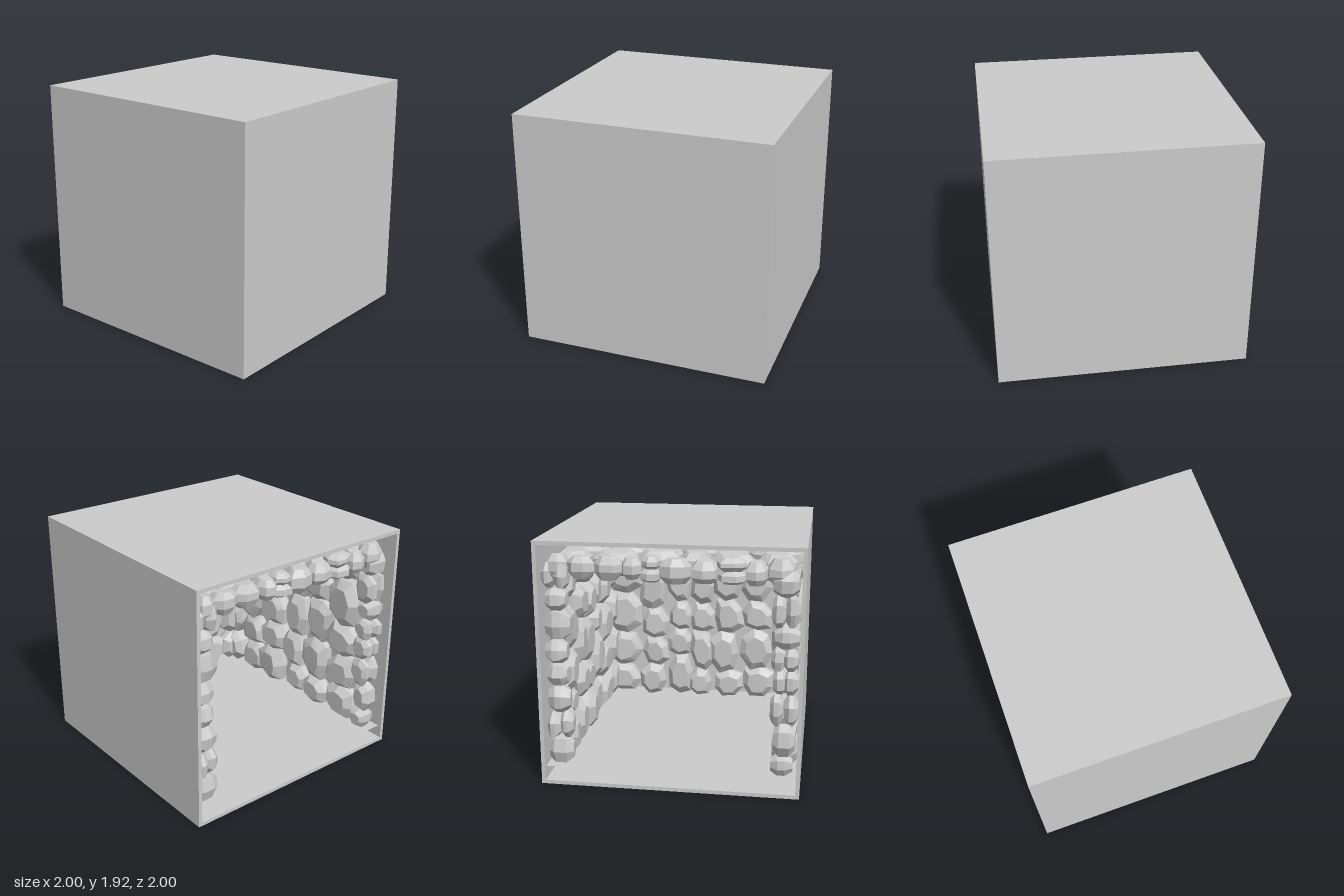
import * as THREE from 'three';
import { ConvexGeometry } from 'three/addons/geometries/ConvexGeometry.js';

const W = 2, H = 1.92, T = 0.03; // outer width/depth, height, shell thickness
const FLOOR = 0.135;

// Small seeded generator
let seed = 11;
const rnd = () => (seed = (seed * 16807) % 2147483647) / 2147483647;
const range = (a, b) => a + (b - a) * rnd();

const grey = new THREE.MeshStandardMaterial({ color: 0xcccccc, flatShading: true });
const greyTwoSided = new THREE.MeshStandardMaterial({ color: 0xcccccc, side: THREE.DoubleSide });

function add(parent, name, geometry, material = grey) {
  const mesh = new THREE.Mesh(geometry, material);
  mesh.name = name;
  parent.add(mesh);
  return mesh;
}

// Box without its -z face; inward = true turns the faces to the inside
function openBox(w, h, d, inward) {
  const geo = new THREE.BoxGeometry(w, h, d);
  const index = Array.from(geo.index.array).slice(0, 30);
  geo.setIndex(inward ? index.reverse() : index);
  geo.clearGroups();
  if (inward) geo.attributes.normal.array.forEach((n, i, a) => { a[i] = -n; });
  return geo;
}

function createShell() {
  const shell = new THREE.Group();
  shell.name = 'shell';
  add(shell, 'outerShell', openBox(W, H, W, false)).position.y = H / 2;
  const inner = add(shell, 'innerShell', openBox(W - 2 * T, H - 2 * T, W - T, true));
  inner.position.set(0, H / 2, -T / 2);

  // Flat rim around the open back
  const rect = (C, w, h) => new C([[-w, -h], [w, -h], [w, h], [-w, h]].map(([x, y]) => new THREE.Vector2(x, y)));
  const rim = rect(THREE.Shape, W / 2, H / 2);
  rim.holes.push(rect(THREE.Path, W / 2 - T, H / 2 - T));
  const rimMesh = add(shell, 'rim', new THREE.ShapeGeometry(rim));
  rimMesh.rotation.y = Math.PI;
  rimMesh.position.set(0, H / 2, -W / 2);
  return shell;
}

// Faceted stone: hull of four jittered rings, w along x, h along y, d along z
function stoneGeometry(w, h, d) {
  const points = [];
  const sides = 7;
  const turn = range(0, 1);
  const radii = Array.from({ length: sides }, () => range(0.88, 1.08));
  for (const [z, r] of [[-0.5, 0.62], [-0.2, 1], [0.18, 0.98], [0.5, 0.58]]) {
    const tilt = range(-0.09, 0.09);
    for (let i = 0; i < sides; i++) {
      const a = turn + ((i + 0.2 * radii[i]) / sides) * Math.PI * 2;
      const c = Math.cos(a), s = Math.sin(a);
      const q = r * radii[i] / Math.pow(c ** 4 + s ** 4, 0.17); // squarish outline
      points.push(new THREE.Vector3(q * c * w / 2, q * s * h / 2, (z + tilt * c * r) * d));
    }
  }
  return new ConvexGeometry(points);
}

// Split a length into irregular pieces of about the given size
function split(from, to, size) {
  const n = Math.max(1, Math.round((to - from) / size));
  const parts = Array.from({ length: n }, () => range(0.75, 1.3));
  const k = (to - from) / parts.reduce((a, b) => a + b, 0);
  let at = from;
  return parts.map((p) => {
    const piece = { mid: at + p * k / 2, size: p * k };
    at += p * k;
    return piece;
  });
}

// Dry stone lining in the xy plane; with an edge, small stones run along x = u0
function createLining(name, u0, u1, v0, v1, hasEdge) {
  const lining = new THREE.Group();
  lining.name = name;
  const edge = hasEdge ? 0.17 : 0;
  const columns = split(u0 + edge, u1, 0.27);
  if (hasEdge) columns.unshift({ mid: u0 + edge / 2, size: edge, edge: true });
  for (const col of columns) {
    for (const row of split(v0, v1, col.edge ? 0.19 : 0.3)) {
      // some edge stones are pairs of thinner ones
      const layers = col.edge && rnd() < 0.4 ? [-0.045, 0.045] : [0];
      for (const z of layers) {
        const depth = layers.length > 1 ? 0.1 : range(0.15, 0.2);
        const stone = add(lining, 'stone', stoneGeometry(col.size * 1.08, row.size * 1.08, depth));
        const shift = col.edge ? 0.01 : 0.025;
        stone.position.set(col.mid + range(-shift, shift), row.mid, z + range(-0.012, 0.012));
        stone.rotation.z = range(-1, 1) * (col.edge ? 0.08 : 0.25);
      }
    }
  }
  return lining;
}

export function createModel() {
  seed = 11;
  const model = new THREE.Group();
  model.name = 'stoneLinedRoom';
  model.add(createShell());

  // Thin raised floor
  const floor = add(model, 'floor', new THREE.PlaneGeometry(W - 2 * T, W - 2 * T), greyTwoSided);
  floor.rotation.x = -Math.PI / 2;
  floor.position.y = FLOOR;

  // Side walls: lining x runs along the depth
  for (const [name, side] of [['leftWall', 1], ['rightWall', -1]]) {
    const wall = createLining(name, -0.95, 0.92, FLOOR + 0.01, 1.74, true);
    wall.rotation.y = -Math.PI / 2;
    wall.position.x = side * 0.865;
    model.add(wall);
  }

  // Far wall
  const farWall = createLining('farWall', -0.88, 0.88, FLOOR + 0.01, 1.74, false);
  farWall.position.z = 0.865;
  model.add(farWall);

  // Ceiling: lining x along the depth, lining y across the width
  const ceiling = createLining('ceiling', -0.95, 0.92, -0.92, 0.92, true);
  ceiling.rotation.set(-Math.PI / 2, 0, -Math.PI / 2);
  ceiling.position.y = 1.71;
  model.add(ceiling);

  return model;
}
